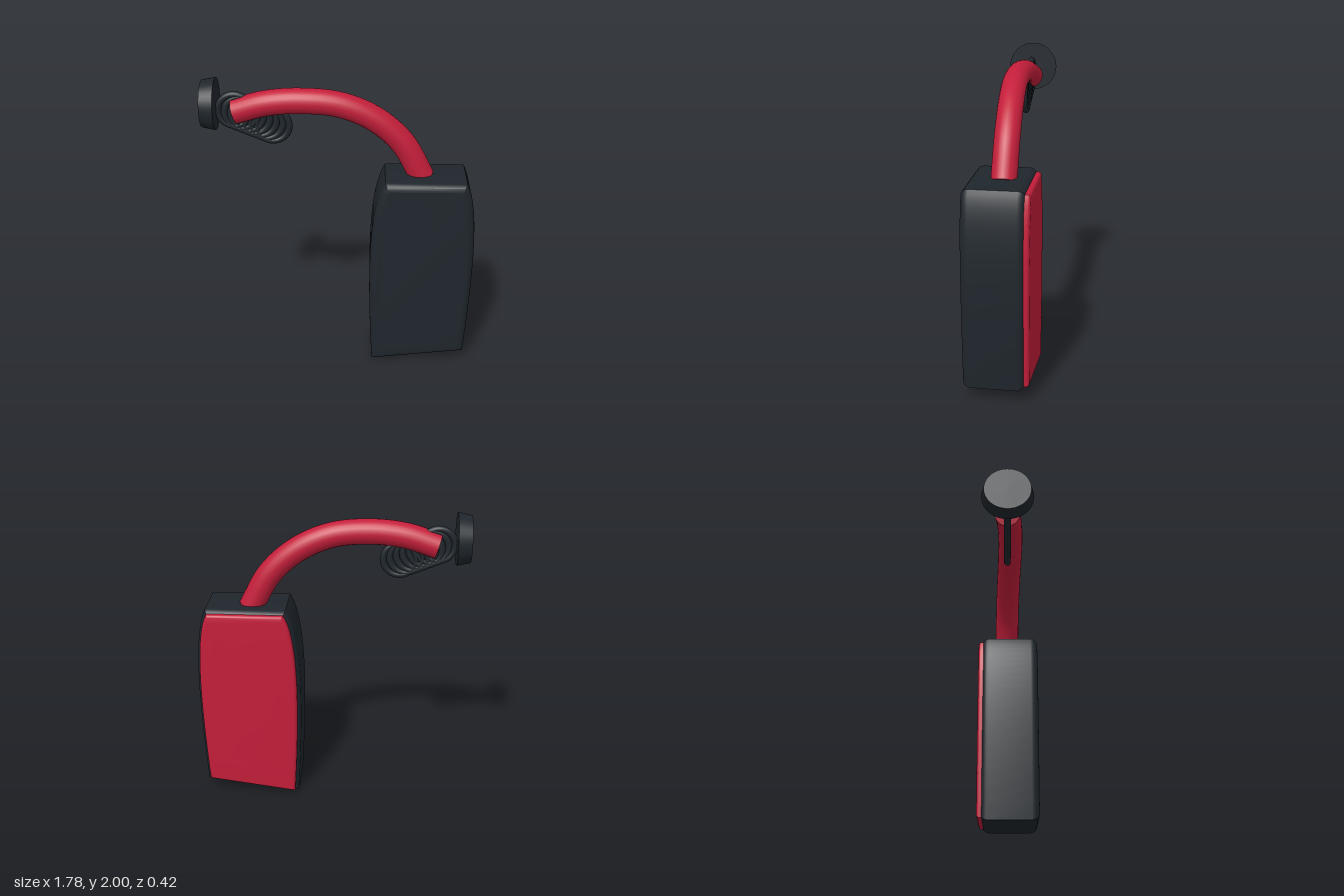
import * as THREE from 'three';
import { toCreasedNormals } from 'three/addons/utils/BufferGeometryUtils.js';

const black = new THREE.MeshStandardMaterial({ color: 0x1f262c });
const red = new THREE.MeshStandardMaterial({ color: 0xc41e3a });

function addMesh(parent, name, geometry, material) {
  const mesh = new THREE.Mesh(geometry, material);
  mesh.name = name;
  parent.add(mesh);
  return mesh;
}

// Bulging case outline with a slanted bottom, shrunk by d on every side
function caseOutline(d) {
  const s = new THREE.Shape();
  s.moveTo(0.22 + d, d);
  s.lineTo(0.86 - d, 0.08 + d);
  s.bezierCurveTo(0.905 - d, 0.75, 0.905 - d, 1.2, 0.82 - d * 0.6, 1.365 - d);
  s.lineTo(0.29 + d * 0.6, 1.365 - d);
  s.bezierCurveTo(0.19 + d, 1.2, 0.175 + d, 0.75, 0.22 + d, d);
  return s;
}

// Rounded slab between two z planes, keeping the outline as its widest extent
function slab(shape, z0, z1, bevel) {
  const g = new THREE.ExtrudeGeometry(shape, {
    depth: z1 - z0 - 2 * bevel, bevelThickness: bevel, bevelSize: bevel,
    bevelOffset: -bevel, bevelSegments: 5, curveSegments: 20,
  });
  g.translate(0, 0, z0 + bevel);
  return toCreasedNormals(g, 0.6);
}

export function createModel() {
  const model = new THREE.Group();
  model.name = 'model';

  // Case and its coloured back panel
  addMesh(model, 'case', slab(caseOutline(0), -0.187, 0.21, 0.05), black);
  addMesh(model, 'backPanel', slab(caseOutline(0.022), -0.213, -0.14, 0.022), red);

  // Curved arm with closed ends
  const radius = 0.083;
  const path = new THREE.CatmullRomCurve3([
    [-0.69, 1.78, -0.006], [-0.48, 1.842, 0.008], [-0.25, 1.862, 0.015], [0, 1.835, 0.01],
    [0.22, 1.737, 0], [0.4, 1.575, -0.007], [0.535, 1.335, -0.008],
  ].map((p) => new THREE.Vector3(...p)));
  const arm = new THREE.Group();
  arm.name = 'arm';
  model.add(arm);
  addMesh(arm, 'armTube', new THREE.TubeGeometry(path, 48, radius, 24), red);
  for (const t of [0, 1]) {
    const cap = addMesh(arm, 'armCap', new THREE.CircleGeometry(radius, 24), red);
    const out = path.getTangentAt(t).multiplyScalar(t ? 1 : -1);
    cap.position.copy(path.getPointAt(t));
    cap.quaternion.setFromUnitVectors(new THREE.Vector3(0, 0, 1), out);
  }

  // Row of overlapping flat coils
  const coils = new THREE.Group();
  coils.name = 'coils';
  model.add(coils);
  const coilGeometry = new THREE.TorusGeometry(0.106, 0.022, 12, 40);
  const count = 7;
  for (let i = 0; i < count; i++) {
    const t = i / (count - 1);
    addMesh(coils, 'coil', coilGeometry, black)
      .position.set(-0.69 + 0.247 * t, 1.787 - 0.1 * t, -0.006);
  }

  // Tapered end disc
  const disc = addMesh(model, 'endDisc', new THREE.CylinderGeometry(0.152, 0.17, 0.09, 40), black);
  disc.rotation.z = Math.PI / 2;
  disc.position.set(-0.85, 1.83, -0.005);

  return model;
}
